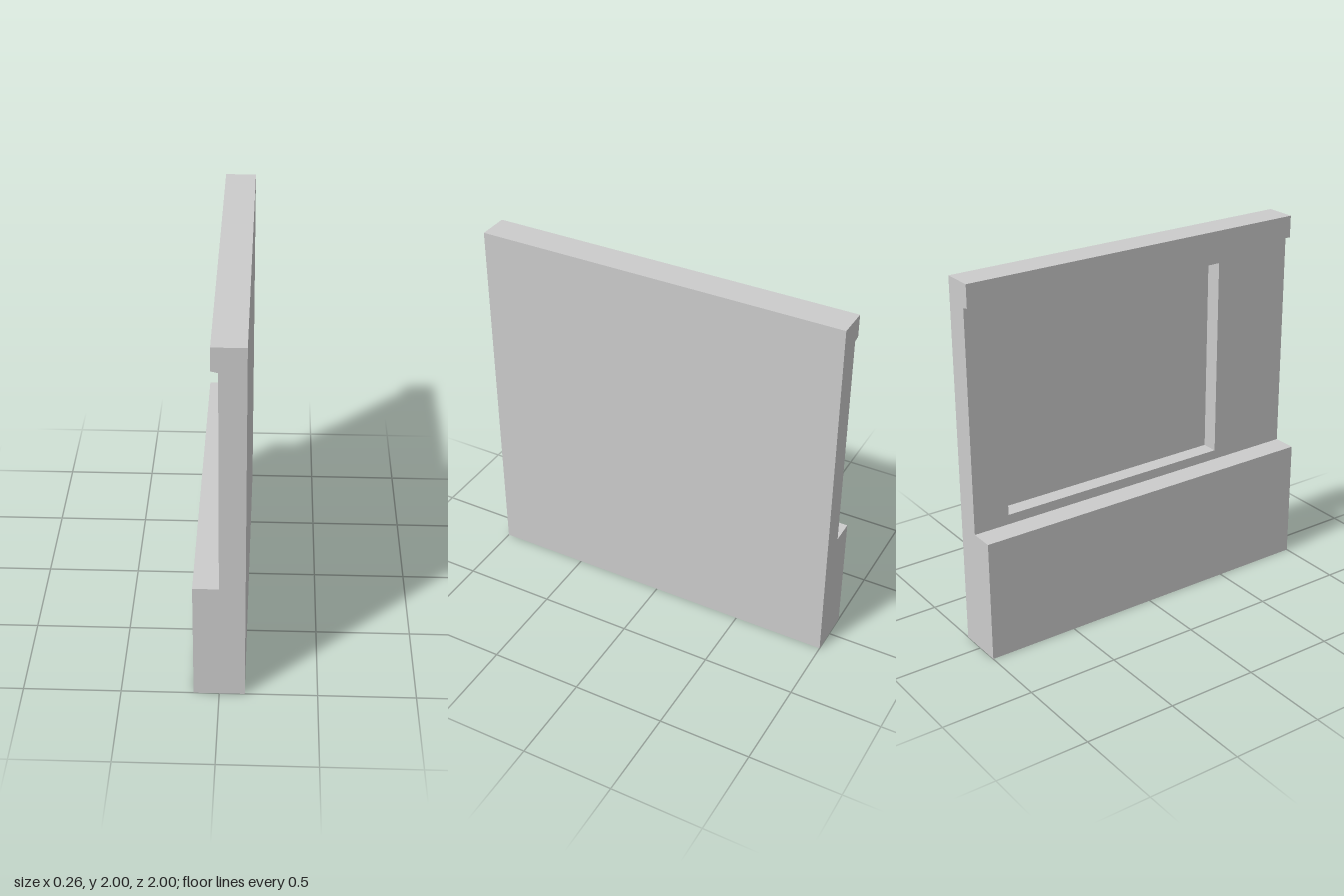
import * as THREE from 'three';

const BACK = 0.13, RECESS = 0.09, SILL = -0.13, TRIM = -0.035;

function polygon(points) {
  return new THREE.Shape(points.map(([x, y]) => new THREE.Vector2(x, y)));
}

export function createModel() {
  const group = new THREE.Group();
  const material = new THREE.MeshStandardMaterial({ color: 0xcccccc, flatShading: true });

  const add = (name, geometry) => {
    const mesh = new THREE.Mesh(geometry, material);
    mesh.name = name;
    group.add(mesh);
  };
  // Extrude an x/y profile over the full length of the wall
  const alongWall = (points) =>
    new THREE.ExtrudeGeometry(polygon(points), { depth: 2, bevelEnabled: false }).translate(0, 0, -1);

  // Backing sheet that closes the window recess
  add('backPanel', alongWall([[RECESS, 0], [BACK, 0], [BACK, 2], [RECESS, 2]]));

  // Wall face with the off-centre window opening, drawn in z/y and turned to face -x
  const face = polygon([[-1, 0], [1, 0], [1, 2], [-1, 2]]);
  face.holes.push(polygon([[-0.8, 0.72], [-0.8, 1.81], [0.54, 1.81], [0.54, 0.72]]));
  const frame = new THREE.ExtrudeGeometry(face, { depth: RECESS, bevelEnabled: false });
  frame.rotateY(-Math.PI / 2).translate(RECESS, 0, 0);
  add('windowWall', frame);

  // Thick lower wall with a ledge on top
  add('lowerWall', alongWall([[SILL, 0], [0, 0], [0, 0.667], [SILL, 0.667]]));

  // Top trim with a slightly sloped underside
  add('topTrim', alongWall([[TRIM, 1.88], [0, 1.872], [0, 2], [TRIM, 2]]));

  return group;
}
